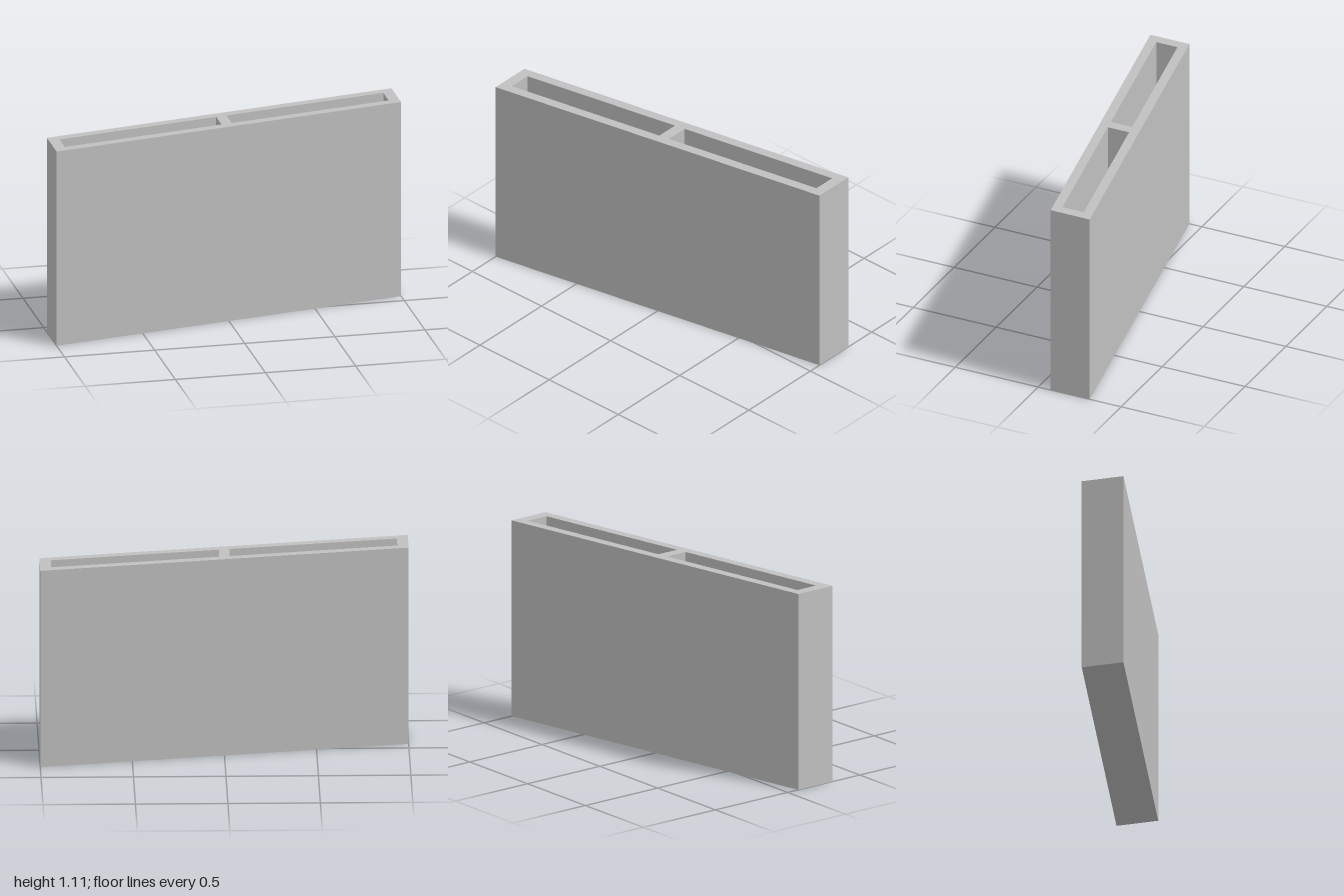
import * as THREE from 'three';
import { mergeGeometries } from 'three/addons/utils/BufferGeometryUtils.js';

const HEIGHT = 1.11;
const FLOOR = 0.06;    // thickness under the cavities
const SLOPE = 0.1925;  // sideways shear of the plan

// Sheared rectangle in plan, counter-clockwise seen from above (plan y = -z)
function outline(x0, x1, half) {
  return [[x0, -half], [x1, -half], [x1, half], [x0, half]]
    .map(([x, d]) => new THREE.Vector2(x, SLOPE * x + d));
}

// Flat horizontal face at height y
function cap(points, y, holes = [], down = false) {
  const shape = new THREE.Shape(points);
  shape.holes = holes.map((h) => new THREE.Path(h));
  const geo = new THREE.ShapeGeometry(shape);
  if (down) {
    geo.index.array.reverse();
  }
  const flat = geo.rotateX(-Math.PI / 2).translate(0, y, 0).toNonIndexed();
  flat.deleteAttribute('uv');
  flat.computeVertexNormals();
  return flat;
}

// Vertical walls along a closed outline; reversed points make them face inward
function walls(points, y0, y1) {
  const pos = [];
  points.forEach((a, i) => {
    const b = points[(i + 1) % points.length];
    const quad = [[a, y0], [b, y0], [b, y1], [a, y0], [b, y1], [a, y1]];
    quad.forEach(([p, y]) => pos.push(p.x, y, -p.y));
  });
  const geo = new THREE.BufferGeometry();
  geo.setAttribute('position', new THREE.Float32BufferAttribute(pos, 3));
  geo.computeVertexNormals();
  return geo;
}

export function createModel() {
  const group = new THREE.Group();
  group.name = 'hollowBlock';
  const grey = new THREE.MeshStandardMaterial({ color: 0xc0c0c0 });
  grey.name = 'grey';

  const add = (name, parts) => {
    const mesh = new THREE.Mesh(mergeGeometries(parts), grey);
    mesh.name = name;
    group.add(mesh);
  };

  const outer = outline(-1, 1, 0.1175);
  const cavities = [outline(-0.94, -0.03, 0.064), outline(0.03, 0.94, 0.064)];

  // Outer shell with the rim around both openings
  add('outerShell', [
    walls(outer, 0, HEIGHT),
    cap(outer, 0, [], true),
    cap(outer, HEIGHT, cavities),
  ]);

  // Two open pockets, divided by the centre web
  cavities.forEach((c, i) => add(i ? 'leftCavity' : 'rightCavity', [
    walls([...c].reverse(), FLOOR, HEIGHT),
    cap(c, FLOOR),
  ]));

  return group;
}
